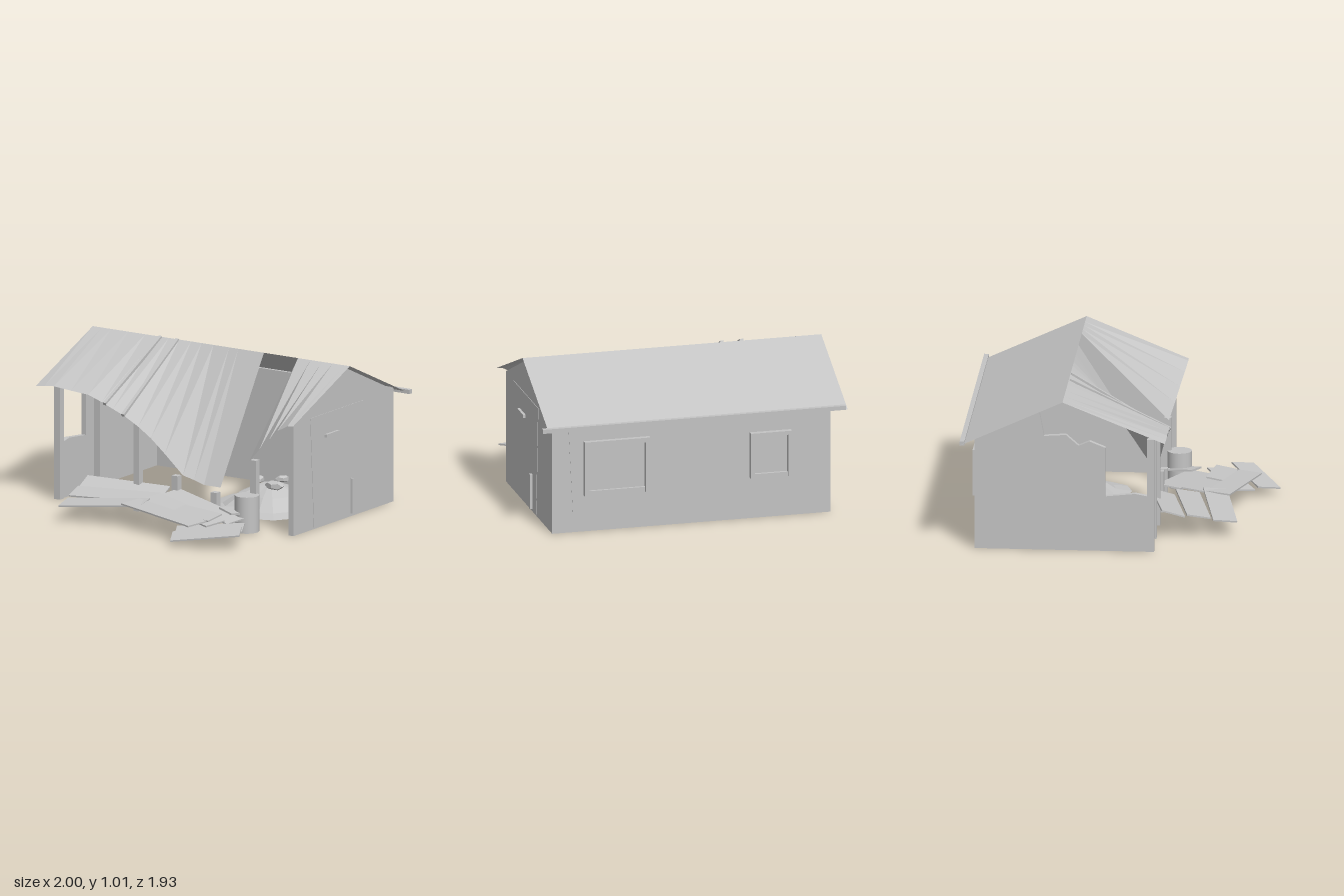
import * as THREE from 'three';

export function createModel() {
  const model = new THREE.Group();
  const grey = new THREE.MeshStandardMaterial({ color: 0xc4c4c4, side: THREE.DoubleSide });
  grey.name = 'plain grey';

  const add = (geo, name) => {
    const mesh = new THREE.Mesh(geo, grey);
    mesh.name = name;
    model.add(mesh);
    return mesh;
  };
  // box given by its low and high limits on each axis
  const box = (name, x0, x1, y0, y1, z0, z1) => {
    const m = add(new THREE.BoxGeometry(x1 - x0, y1 - y0, z1 - z0), name);
    m.position.set((x0 + x1) / 2, (y0 + y1) / 2, (z0 + z1) / 2);
    return m;
  };
  // board running between the middles of its two ends
  const board = (name, a, b, width, thick, roll = 0) => {
    const p = new THREE.Vector3(...a), q = new THREE.Vector3(...b);
    const d = q.clone().sub(p);
    const m = add(new THREE.BoxGeometry(d.length(), thick, width), name);
    m.position.copy(p).add(q).multiplyScalar(0.5);
    m.rotation.set(roll, Math.atan2(-d.z, d.x), Math.atan2(d.y, Math.hypot(d.x, d.z)), 'YZX');
    return m;
  };
  const outline = pts => new THREE.Shape(pts.map(p => new THREE.Vector2(...p)));
  // flat panel drawn in (z, y), its outer face at x
  const sidePanel = (name, pts, x, depth) => {
    const g = new THREE.ExtrudeGeometry(outline(pts), { depth, bevelEnabled: false });
    g.rotateY(-Math.PI / 2).translate(x, 0, 0);
    return add(g, name);
  };
  // flat panel drawn in (x, y), its back face at z
  const backPanel = (name, pts, z, depth) =>
    add(new THREE.ExtrudeGeometry(outline(pts), { depth, bevelEnabled: false }).translate(0, 0, z), name);

  // Gable walls, the second one broken open
  sidePanel('leftGableWall', [[0.26, 0], [0.26, 0.735], [-0.31, 0.99], [-0.79, 0.77],
    [-0.86, 0.75], [-0.86, 0]], 0.915, 0.04);
  sidePanel('rightGableWall', [[0.25, 0], [0.25, 0.36], [0.14, 0.38], [-0.05, 0.36], [-0.05, 0.68],
    [-0.15, 0.72], [-0.22, 0.69], [-0.3, 0.76], [-0.44, 0.75], [-0.47, 0.91], [-0.79, 0.77],
    [-0.86, 0.75], [-0.86, 0]], -0.875, 0.035);

  // Back wall with a crumbled top edge
  backPanel('backWall', [[-0.91, 0], [0.915, 0], [0.915, 0.74], [0.57, 0.74], [0.55, 0.72],
    [0.36, 0.725], [0.34, 0.74], [-0.57, 0.74], [-0.61, 0.71], [-0.7, 0.7], [-0.78, 0.69],
    [-0.86, 0.7], [-0.87, 0.74], [-0.91, 0.74]], -0.88, 0.02);

  // Door panel and its handles
  sidePanel('door', [[0.07, 0.73], [0.03, 0.01], [-0.49, 0.01], [-0.54, 0.73]], 0.918, 0.004);
  box('doorBar', 0.915, 0.935, 0.575, 0.595, -0.235, -0.09);
  box('doorHandle', 0.915, 0.935, 0.02, 0.25, -0.4, -0.385);

  // Back windows: surround plate and four frame bars
  const backWindow = (x0, x1, y0, y1, w) => {
    box('windowFrameSide', x0, x0 + w, y0, y1, -0.915, -0.88);
    box('windowFrameSide', x1 - w, x1, y0, y1, -0.915, -0.88);
    box('windowFrameTop', x0, x1, y1 - w, y1, -0.915, -0.88);
    box('windowFrameBottom', x0, x1, y0, y0 + w, -0.9, -0.88);
  };
  backPanel('windowSurround', [[0.2, 0.13], [0.78, 0.13], [0.81, 0.72], [0.17, 0.72]], -0.883, 0.004);
  backWindow(0.28, 0.71, 0.24, 0.6, 0.03);
  backWindow(-0.65, -0.38, 0.27, 0.57, 0.025);

  // Front posts, some snapped short
  [[-0.8875, 0.74], [-0.59, 0.725], [-0.29, 0.58], [0.003, 0.27], [0.3, 0.2], [0.6, 0.45]].forEach(([x, h], i) => {
    const z = i ? 0.23 : 0.238;
    box('frontPost', x - 0.0225, x + 0.0225, 0, h, z - 0.022, z + 0.022);
  });

  // Roof sheets: strips from the ridge to an eave line of [x, y, z]
  const ridgeY = 1, ridgeZ = -0.315;
  const roofSheet = (name, eave) => {
    const v = [];
    for (let i = 0; i < eave.length - 1; i++) {
      const a = eave[i], b = eave[i + 1];
      const ra = [a[0], ridgeY, ridgeZ], rb = [b[0], ridgeY, ridgeZ];
      v.push(...ra, ...a, ...b, ...ra, ...b, ...rb);
    }
    const g = new THREE.BufferGeometry();
    g.setAttribute('position', new THREE.Float32BufferAttribute(v, 3));
    g.computeVertexNormals();
    add(g, name);
  };
  roofSheet('saggingRoof', [[-1, 0.74, 0.335], [-0.93, 0.75, 0.34], [-0.86, 0.757, 0.34], [-0.73, 0.745, 0.338],
    [-0.6, 0.735, 0.335], [-0.5, 0.7, 0.332], [-0.42, 0.665, 0.325], [-0.34, 0.625, 0.31], [-0.25, 0.565, 0.29],
    [-0.17, 0.495, 0.265], [-0.08, 0.4, 0.24], [0.04, 0.27, 0.212], [0.11, 0.245, 0.19], [0.18, 0.22, 0.18],
    [0.305, 0.22, 0.18]]);
  roofSheet('bentRoof', [[0.565, 0.44, 0.24], [0.66, 0.53, 0.27], [0.75, 0.61, 0.295],
    [0.83, 0.685, 0.32], [0.92, 0.733, 0.335], [0.96, 0.735, 0.335]]);
  roofSheet('backRoof', [[0.96, 0.7, -0.97], [-1, 0.7, -0.97]]);
  box('eaveBeam', -0.99, 0.998, 0.698, 0.725, -0.97, -0.94);

  // Battens lying on the front roof
  board('roofBatten', [-0.48, 1, -0.31], [-0.48, 0.69, 0.33], 0.022, 0.02);
  board('roofBatten', [-0.35, 1, -0.31], [-0.35, 0.63, 0.315], 0.022, 0.02);

  // Collapsed deck boards
  [
    [[-0.622, 0.17, 0.36], [-0.067, 0.15, 0.25], 0.3],
    [[-0.59, 0.145, 0.52], [-0.035, 0.15, 0.405], 0.18],
    [[-0.557, 0.11, 0.685], [-0.003, 0.16, 0.578], 0.1],
    [[-0.01, 0.17, 0.285], [0.6, 0.09, 0.44], 0.1],
    [[-0.055, 0.165, 0.44], [0.55, 0.1, 0.605], 0.08],
    [[-0.1, 0.16, 0.605], [0.515, 0.125, 0.76], 0.05],
    [[0.335, 0.055, 0.735], [0.72, 0.085, 0.54], 0.12],
    [[0.405, 0.055, 0.89], [0.798, 0.1, 0.69], 0.15],
  ].forEach(([a, b, roll]) => board('deckBoard', a, b, 0.155, 0.01, roll));
  board('brokenBoard', [0.24, 0.15, 0.57], [0.55, 0.14, 0.61], 0.14, 0.01, 0.15);
  board('brokenBoard', [0.5, 0.14, 0.42], [0.57, 0.12, 0.24], 0.14, 0.012, 0.1);

  // Barrel
  add(new THREE.CylinderGeometry(0.078, 0.078, 0.235, 32), 'barrel').position.set(0.59, 0.1175, 0.305);

  // Rubble mound with a wavy skirt
  let mound = new THREE.LatheGeometry([[0.39, 0], [0.29, 0.02], [0.19, 0.09], [0.07, 0.14], [0.001, 0.145]]
    .map(p => new THREE.Vector2(...p)), 20);
  const pos = mound.attributes.position;
  for (let i = 0; i < pos.count; i++) {
    const x = pos.getX(i), z = pos.getZ(i), t = Math.atan2(z, x);
    const k = 1 + 0.06 * Math.cos(5 * t + 1) + 0.04 * Math.sin(3 * t);
    pos.setXYZ(i, x * k, pos.getY(i), z * k);
  }
  mound = mound.toNonIndexed();
  mound.computeVertexNormals();
  add(mound, 'rubbleMound').position.set(0.33, 0, -0.36);

  // Stones on the mound
  [[0.43, 0.165, -0.25, 0.07], [0.27, 0.17, -0.3, 0.05], [0.2, 0.15, -0.42, 0.045],
    [0.36, 0.16, -0.45, 0.05], [0.47, 0.11, -0.4, 0.045]].forEach(([x, y, z, r], i) => {
    const stone = add(new THREE.DodecahedronGeometry(r), 'stone');
    stone.scale.set(1, 0.45, 0.6);
    stone.position.set(x, y, z);
    stone.rotation.y = i * 1.3;
  });

  return model;
}
